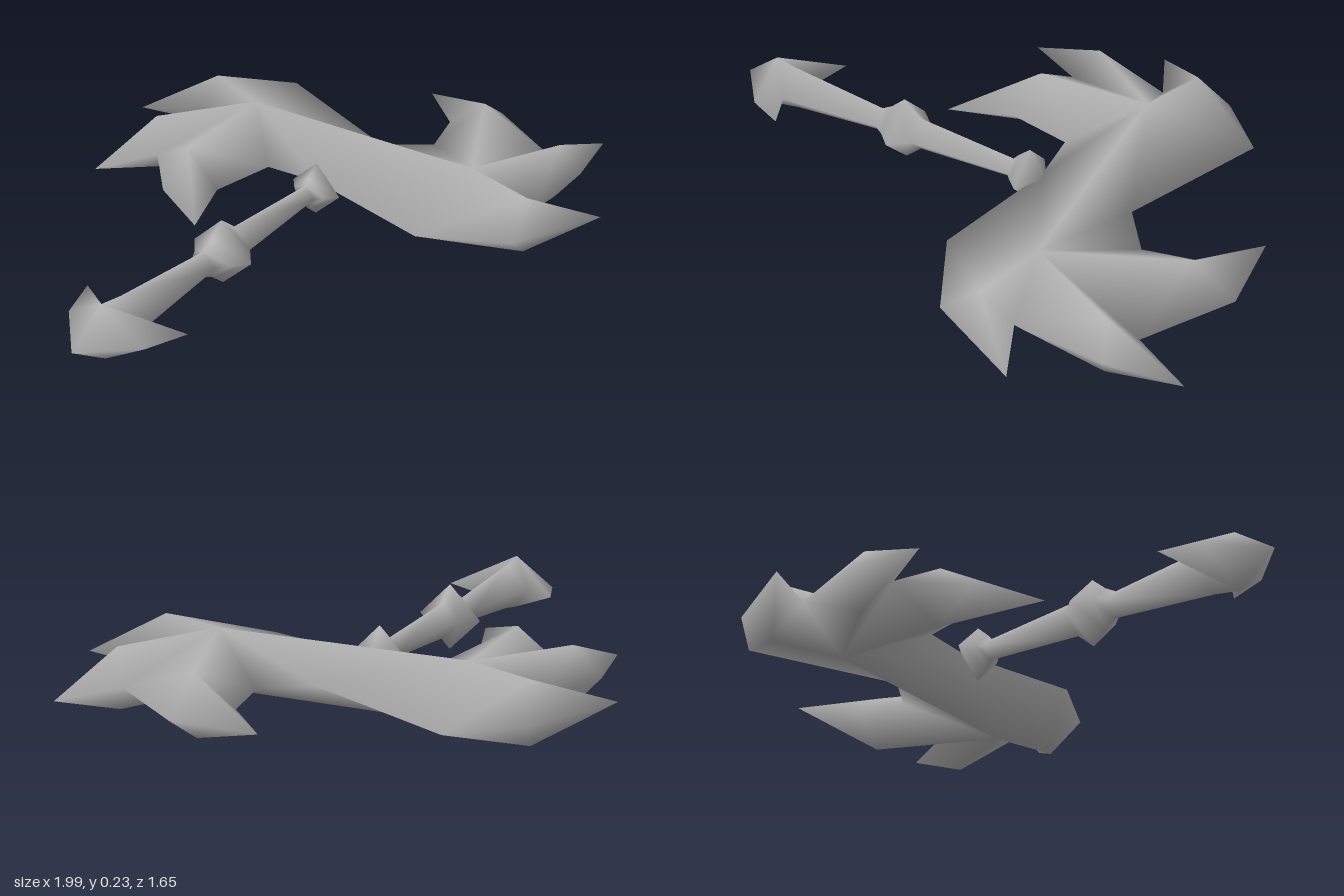
import * as THREE from 'three';
import { mergeVertices } from 'three/addons/utils/BufferGeometryUtils.js';

const MID = 0.115; // height of the flat symmetry plane

// Closed bevelled blade. Each fan is { peak: [x, z, halfHeight], rim: [[x, z], ...] }.
// Rim points run clockwise seen from above; each fan starts where the last one ends.
function blade(fans) {
  const pos = [];
  const face = (a, b, c) => {
    for (const [x, z, h = 0] of [a, b, c]) pos.push(x, MID + h, z);
    for (const [x, z, h = 0] of [a, c, b]) pos.push(x, MID - h, z); // underside
  };
  fans.forEach(({ peak, rim }, k) => {
    for (let i = 0; i < rim.length - 1; i++) face(peak, rim[i + 1], rim[i]);
    const next = fans[(k + 1) % fans.length].peak;
    if (next !== peak) face(peak, next, rim[rim.length - 1]);
  });
  const g = new THREE.BufferGeometry();
  g.setAttribute('position', new THREE.Float32BufferAttribute(pos, 3));
  const smooth = mergeVertices(g, 1e-4);
  smooth.computeVertexNormals();
  return smooth;
}

// S-shaped head: spine ridge with two spikes fanning out from each root
function headFans() {
  const H = 0.1;
  const backEnd = [0.41, -0.65, H], backRoot = [0.34, -0.42, H];
  const frontEnd = [0.37, 0.66, H], frontRoot = [0.42, 0.42, H];
  const backOuter = [0.05, -0.62, H], backInner = [-0.05, -0.39, H];
  const frontInner = [0.82, 0.22, H], frontOuter = [0.73, 0.57, H];
  const backNotch = [-0.02, -0.56], frontNotch = [0.8, 0.5];
  const backHook = [0.29, -0.64], frontHook = [0.47, 0.635];
  const backArmpit = [0.15, -0.21], frontArmpit = [0.62, 0.145];
  const backCorner = [0.69, -0.51], frontCorner = [0.1, 0.42];
  const waistLeft = [0.51, 0], waistRight = [0.175, -0.02];
  return [
    { peak: backEnd, rim: [backHook, [0.2, -0.83], [0.52, -0.69], backCorner] },
    { peak: backRoot, rim: [backCorner, waistLeft] },
    { peak: frontRoot, rim: [waistLeft, frontArmpit] },
    { peak: frontInner, rim: [frontArmpit, [0.79, 0.1], [0.93, -0.07], [0.96, 0.21], frontNotch] },
    { peak: frontRoot, rim: [frontNotch] },
    { peak: frontOuter, rim: [frontNotch, [0.99, 0.6], [0.76, 0.64], frontHook] },
    { peak: frontRoot, rim: [frontHook] },
    { peak: frontEnd, rim: [frontHook, [0.56, 0.825], [0.25, 0.685], frontCorner] },
    { peak: frontRoot, rim: [frontCorner, waistRight] },
    { peak: backRoot, rim: [waistRight, backArmpit] },
    { peak: backInner, rim: [backArmpit, [-0.07, -0.25], [-0.28, -0.165], [-0.18, -0.39], backNotch] },
    { peak: backRoot, rim: [backNotch] },
    { peak: backOuter, rim: [backNotch, [-0.22, -0.66], [0.02, -0.705], backHook] },
    { peak: backRoot, rim: [backHook] },
  ];
}

// Handle: barbed pommel, tapering grip, collar and end knob, mirrored across z
function handleFans() {
  const grip = [
    [-0.79, 0.082], [-0.43, 0.046], [-0.39, 0.07], [-0.34, 0.115],
    [-0.28, 0.062], [0.08, 0.038], [0.1, 0.06], [0.14, 0.095], [0.205, 0],
  ];
  const side = (x, r) => [x, -r];
  const fans = [{
    peak: [-0.87, 0, 0.097],
    rim: [[-1, 0], [-0.86, -0.15], [-0.73, -0.2], side(...grip[0])],
  }];
  for (let i = 0; i < grip.length - 1; i++) {
    const [x, r] = grip[i];
    fans.push({ peak: [x, 0, r], rim: [side(x, r), side(...grip[i + 1])] });
  }
  const mirrored = fans.map(({ peak, rim }) => ({
    peak, rim: rim.map(([x, z]) => [x, -z]).reverse(),
  })).reverse();
  return [...fans, ...mirrored];
}

export function createModel() {
  const group = new THREE.Group();
  const steel = new THREE.MeshStandardMaterial({ color: 0xb4b4b4 });
  steel.name = 'grey steel';
  const add = (name, fans) => {
    const mesh = new THREE.Mesh(blade(fans), steel);
    mesh.name = name;
    group.add(mesh);
  };
  add('spikedHead', headFans());
  add('handle', handleFans());
  return group;
}
